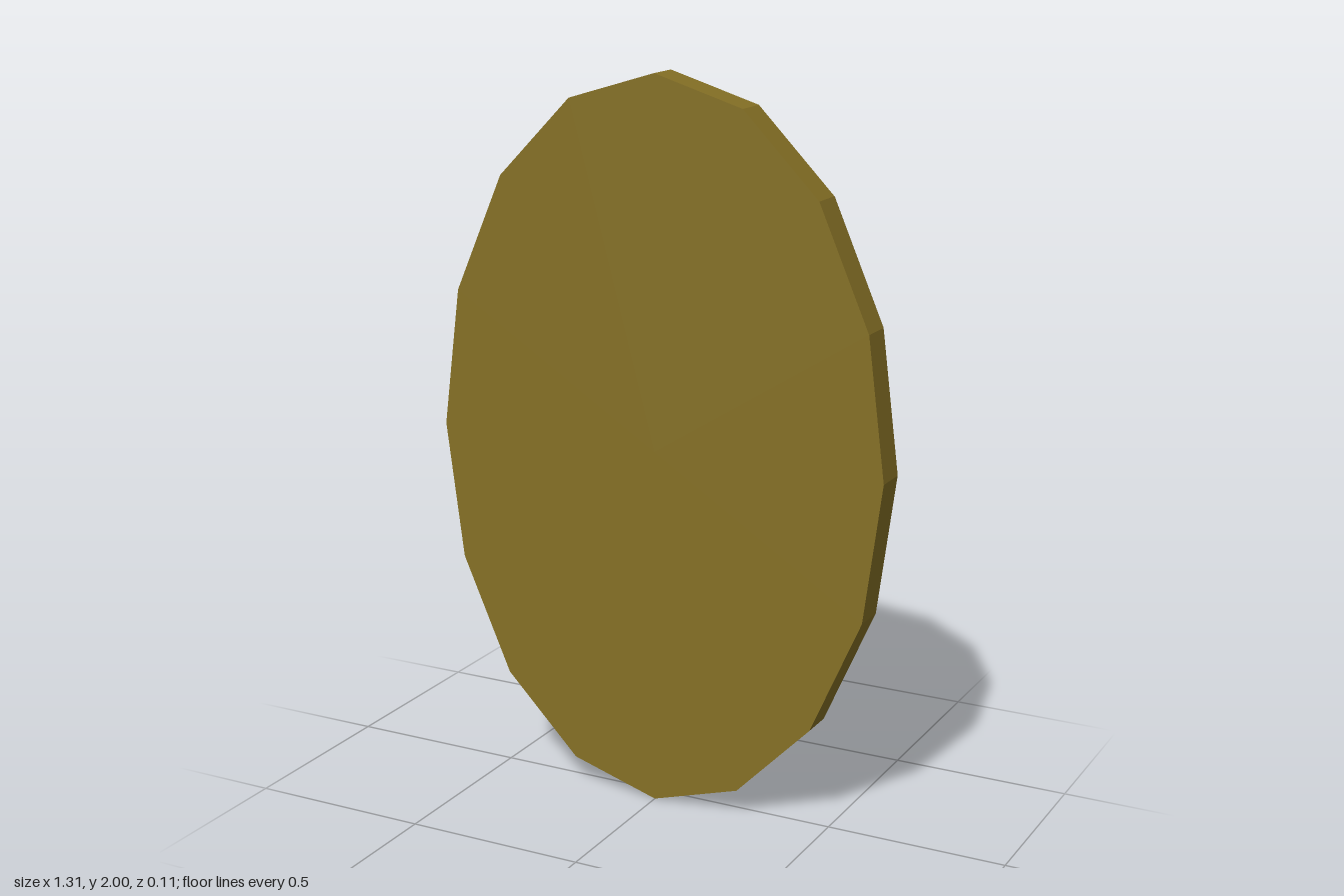
import * as THREE from 'three';

const SIDES = 16;

// 16-sided oval ring
function ovalRing(rx, ry, z) {
  return Array.from({ length: SIDES }, (_, k) => {
    const a = (k / SIDES) * Math.PI * 2;
    return new THREE.Vector3(rx * Math.cos(a), ry * Math.sin(a), z);
  });
}

// 8-sided oval ring with edge midpoints, so it also has 16 points
function octagonRing(rx, ry, z) {
  const ring = ovalRing(rx, ry, z);
  for (let k = 1; k < SIDES; k += 2) {
    ring[k].addVectors(ring[k - 1], ring[(k + 1) % SIDES]).multiplyScalar(0.5);
  }
  return ring;
}

// Flat-faced skin through rings ordered from the front to the back
function loft(rings) {
  const points = [];
  for (let i = 0; i < rings.length - 1; i++) {
    for (let k = 0; k < SIDES; k++) {
      const n = (k + 1) % SIDES;
      const a = rings[i][k], b = rings[i][n];
      const c = rings[i + 1][k], d = rings[i + 1][n];
      points.push(a, c, b, b, c, d);
    }
  }
  const geometry = new THREE.BufferGeometry().setFromPoints(points);
  geometry.computeVertexNormals();
  return geometry;
}

export function createModel() {
  const gold = new THREE.MeshStandardMaterial({ color: 0x857025 });
  gold.name = 'darkGold';
  const red = new THREE.MeshStandardMaterial({ color: 0xe14747 });
  red.name = 'red';

  const group = new THREE.Group();
  group.name = 'ovalPlaque';
  const add = (name, geometry, material) => {
    const mesh = new THREE.Mesh(geometry, material);
    mesh.name = name;
    mesh.position.y = 1;
    group.add(mesh);
  };

  // Flat front face
  add('frontFace', new THREE.CircleGeometry(1, SIDES).scale(0.655, 1, 1).translate(0, 0, 0.056), gold);

  // Outer wall, back bevel, back rim and sloped wall of the recess
  add('rim', loft([
    ovalRing(0.655, 1, 0.056),
    ovalRing(0.655, 1, -0.038),
    ovalRing(0.65, 0.994, -0.05),
    ovalRing(0.637, 0.98, -0.056),
    octagonRing(0.57, 0.802, -0.056),
    octagonRing(0.557, 0.785, -0.038),
  ]), gold);

  // Recessed panel, facing the back
  add('backPanel', new THREE.CircleGeometry(1, 8).scale(0.557, 0.785, 1).rotateY(Math.PI).translate(0, 0, -0.038), red);

  return group;
}
